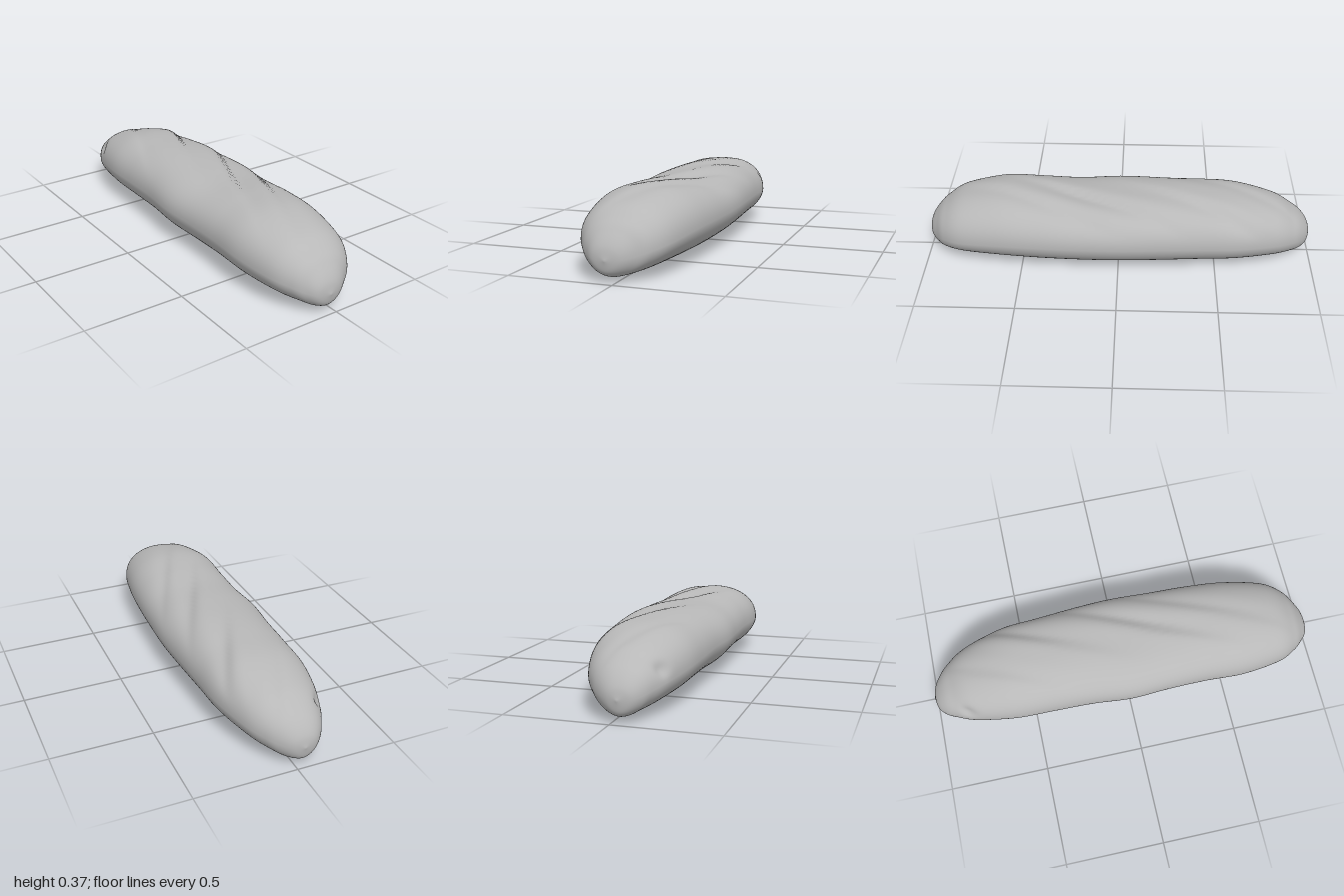
import * as THREE from 'three';
import { mergeVertices } from 'three/addons/utils/BufferGeometryUtils.js';

// Stations from front to back: z, left edge x, right edge x, top y, bottom y, height of widest point
const STATIONS = [
  [1, -0.035, -0.035, 0.105, 0.105, 0.105],
  [0.985, -0.1, 0.03, 0.165, 0.05, 0.11],
  [0.95, -0.142, 0.085, 0.22, 0.026, 0.12],
  [0.9, -0.185, 0.145, 0.27, 0.021, 0.14],
  [0.8, -0.235, 0.2, 0.328, 0.018, 0.16],
  [0.6, -0.267, 0.24, 0.37, 0.011, 0.18],
  [0.4, -0.262, 0.258, 0.37, 0.006, 0.185],
  [0.2, -0.264, 0.266, 0.36, 0.003, 0.185],
  [0, -0.275, 0.272, 0.367, 0.004, 0.19],
  [-0.2, -0.259, 0.262, 0.374, 0.008, 0.19],
  [-0.4, -0.253, 0.247, 0.371, 0.013, 0.185],
  [-0.6, -0.247, 0.232, 0.36, 0.017, 0.18],
  [-0.8, -0.208, 0.175, 0.31, 0.021, 0.16],
  [-0.9, -0.165, 0.118, 0.255, 0.023, 0.14],
  [-0.95, -0.135, 0.073, 0.215, 0.027, 0.125],
  [-0.985, -0.095, 0.022, 0.165, 0.05, 0.115],
  [-1, -0.035, -0.035, 0.11, 0.11, 0.11],
];

// Diagonal baker's slashes over the crust: [offset along the diagonal, depth, centre x]
const SLASHES = [
  [0.25, 0.016, 0.06],
  [-0.2, 0.014, 0.13],
  [0.62, 0.01, 0.09],
  [-0.75, 0.006, -0.05],
];

function curveOf(a, b, c) {
  const points = STATIONS.map((s) => new THREE.Vector3(s[a], s[b], s[c]));
  return new THREE.CatmullRomCurve3(points, false, 'catmullrom', 0.5);
}

const bump = (d, width) => Math.exp(-(d * d) / (width * width));
const power = (v, p) => Math.sign(v) * Math.pow(Math.abs(v), p);

// Height change on the upper crust: a sharp groove with a soft raised lip behind it
function slashHeight(x, z) {
  let h = 0;
  for (const [offset, depth, cx] of SLASHES) {
    const d = z + 2.3 * x - offset;
    const fade = bump(x - cx, 0.15);
    h += fade * depth * (0.35 * bump(d + 0.15, 0.1) - bump(d, d > 0 ? 0.13 : 0.045));
  }
  return h;
}

function loafGeometry() {
  const rings = 160;
  const sides = 96;
  const plan = curveOf(0, 1, 2);
  const side = curveOf(3, 4, 5);
  const positions = [];
  const index = [];
  for (let i = 0; i <= rings; i++) {
    const p = plan.getPoint(i / rings);
    const q = side.getPoint(i / rings);
    const [z, left, right] = [p.x, p.y, p.z];
    const [top, bottom, wide] = [q.x, q.y, q.z];
    for (let j = 0; j < sides; j++) {
      const angle = (j / sides) * Math.PI * 2;
      const c = Math.cos(angle);
      const s = Math.sin(angle);
      // Full upper half, more tapered underside
      const e = s > 0 ? 0.89 : 1.09;
      let x = (left + right) / 2 + ((right - left) / 2) * power(c, e);
      let y = wide + (s > 0 ? top - wide : wide - bottom) * power(s, e);
      if (s > 0) y += slashHeight(x, z) * THREE.MathUtils.smoothstep(s, 0.1, 0.7) * THREE.MathUtils.smoothstep(1 - Math.abs(z), 0.02, 0.2);
      // Small pit near the back end
      const pit = x < -0.05 ? 0.018 * bump(z + 0.83, 0.035) * bump(y - 0.22, 0.03) : 0;
      x += pit;
      y -= pit * 0.4;
      positions.push(x, y, z);
    }
  }
  for (let i = 0; i < rings; i++) {
    for (let j = 0; j < sides; j++) {
      const a = i * sides + j;
      const b = i * sides + ((j + 1) % sides);
      const c = a + sides;
      const d = b + sides;
      if (i < rings - 1) index.push(a, c, d);
      else index.push(a, c, b);
      if (i > 0 && i < rings - 1) index.push(a, d, b);
    }
  }
  let geometry = new THREE.BufferGeometry();
  geometry.setAttribute('position', new THREE.Float32BufferAttribute(positions, 3));
  geometry.setIndex(index);
  geometry = mergeVertices(geometry, 1e-5);
  geometry.computeVertexNormals();
  return geometry;
}

export function createModel() {
  const crust = new THREE.MeshStandardMaterial({ color: 0xb8b8b8 });
  crust.name = 'crust grey';
  const loaf = new THREE.Mesh(loafGeometry(), crust);
  loaf.name = 'breadLoaf';
  const group = new THREE.Group();
  group.name = 'bread';
  group.add(loaf);
  return group;
}
